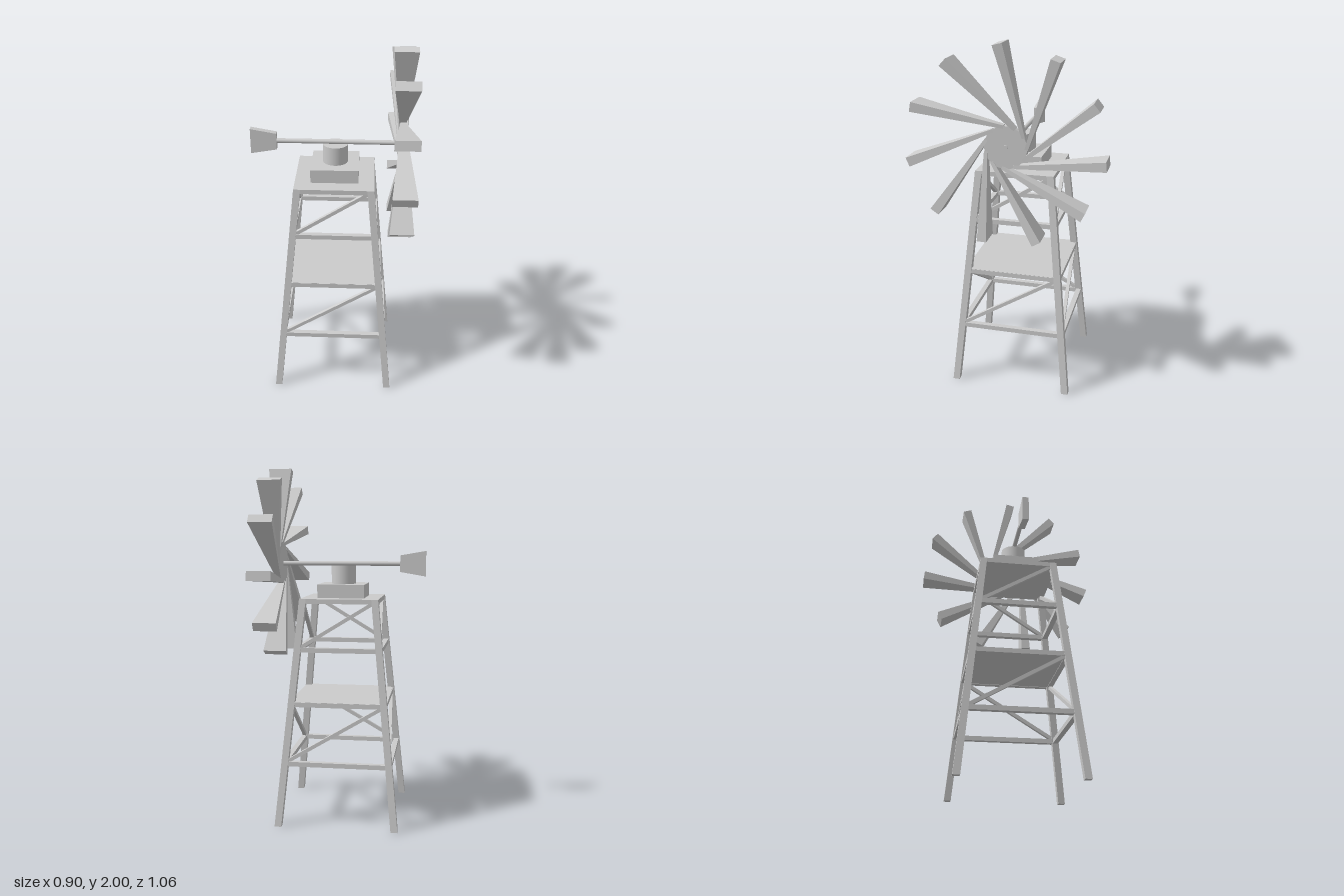
import * as THREE from 'three';

const mat = new THREE.MeshStandardMaterial({ color: 0xcccccc, flatShading: true });
const smooth = new THREE.MeshStandardMaterial({ color: 0xcccccc });

const TOP = 1.275, AXLE_Y = 1.466, ROTOR_X = 0.385, BLADES = 11;
// distance of the leg centres from the tower axis at height y
const spread = (y) => 0.327 - (0.126 * y) / TOP;

function add(parent, name, geometry, x = 0, y = 0, z = 0, material = mat) {
  const mesh = new THREE.Mesh(geometry, material);
  mesh.name = name;
  mesh.position.set(x, y, z);
  parent.add(mesh);
  return mesh;
}

// Moves every vertex of a geometry by a rule
function reshape(geometry, rule) {
  const p = geometry.attributes.position, v = new THREE.Vector3();
  for (let i = 0; i < p.count; i++) {
    rule(v.fromBufferAttribute(p, i));
    p.setXYZ(i, v.x, v.y, v.z);
  }
  geometry.computeVertexNormals();
  return geometry;
}

// Square bar between two points
function bar(parent, name, a, b, width, height) {
  const mesh = add(parent, name, new THREE.BoxGeometry(width, height, a.distanceTo(b)));
  mesh.position.copy(a).add(b).multiplyScalar(0.5);
  mesh.lookAt(b);
  return mesh;
}

function buildTower() {
  const tower = new THREE.Group();
  tower.name = 'tower';

  // Leaning legs with level ends
  for (const sx of [-1, 1]) for (const sz of [-1, 1]) {
    const leg = reshape(new THREE.BoxGeometry(0.038, TOP, 0.038).translate(0, TOP / 2, 0), (v) => {
      const s = spread(v.y);
      v.x += sx * s;
      v.z += sz * s;
    });
    add(tower, 'leg', leg);
  }

  // Each side: rails at four levels and one diagonal in two bays
  for (let i = 0; i < 4; i++) {
    const side = new THREE.Group();
    side.name = 'towerSide';
    const corner = (s, y) => new THREE.Vector3(s * spread(y), y, spread(y));
    for (const y of [0.355, 0.688, 0.992, 1.262]) {
      bar(side, 'rail', corner(-1, y), corner(1, y), 0.03, 0.026);
    }
    for (const [low, high] of [[0.36, 0.685], [0.995, 1.26]]) {
      bar(side, 'diagonalBrace', corner(-1, low), corner(1, high), 0.02, 0.02);
    }
    side.rotation.y = (i * Math.PI) / 2;
    tower.add(side);
  }

  // Decks and turntable
  add(tower, 'middleDeck', new THREE.BoxGeometry(0.542, 0.024, 0.542), 0, 0.69, 0);
  add(tower, 'topDeck', new THREE.BoxGeometry(0.44, 0.026, 0.44), 0, TOP - 0.013, 0);
  add(tower, 'turntableBase', new THREE.BoxGeometry(0.265, 0.076, 0.265), 0, TOP + 0.038, 0);
  const post = new THREE.CylinderGeometry(0.07, 0.07, 0.11, 32);
  add(tower, 'turntablePost', post, 0, 1.4, 0, smooth);
  return tower;
}

function buildRotor() {
  const rotor = new THREE.Group();
  rotor.name = 'rotor';
  const hub = new THREE.CylinderGeometry(0.115, 0.115, 0.03, 22).rotateZ(Math.PI / 2);
  add(rotor, 'hub', hub);

  // Blades set tangent to the hub, widening toward the tip
  const inner = 0.03, outer = 0.52;
  for (let i = 0; i < BLADES; i++) {
    const box = new THREE.BoxGeometry(0.13, outer - inner, 0.052);
    const blade = reshape(box.translate(0, (inner + outer) / 2, 0), (v) => {
      const t = (v.y - inner) / (outer - inner);
      v.x *= 0.24 + 0.76 * t;
      v.z = v.z * (0.35 + 0.65 * t) - 0.105;
    });
    add(rotor, 'blade', blade).rotation.x =
      THREE.MathUtils.degToRad(6 - 90) + (i * 2 * Math.PI) / BLADES;
  }
  return rotor;
}

export function createModel() {
  const model = new THREE.Group();
  model.name = 'windmill';

  const tower = buildTower();
  tower.position.x = 0.017;
  model.add(tower);

  const rotor = buildRotor();
  rotor.position.set(ROTOR_X, AXLE_Y, 0);
  model.add(rotor);

  // Shaft from the tail vane through the hub
  const shaft = new THREE.CylinderGeometry(0.013, 0.013, 0.73, 20).rotateZ(Math.PI / 2);
  add(model, 'shaft', shaft, 0.04, AXLE_Y, 0, smooth);

  // Tail vane, taller at its free end
  const vane = reshape(new THREE.BoxGeometry(0.145, 0.144, 0.036), (v) => {
    if (v.x > 0) v.y *= 0.65;
  });
  add(model, 'tailVane', vane, -0.381, AXLE_Y, 0);

  model.position.z = -0.002;
  return model;
}
